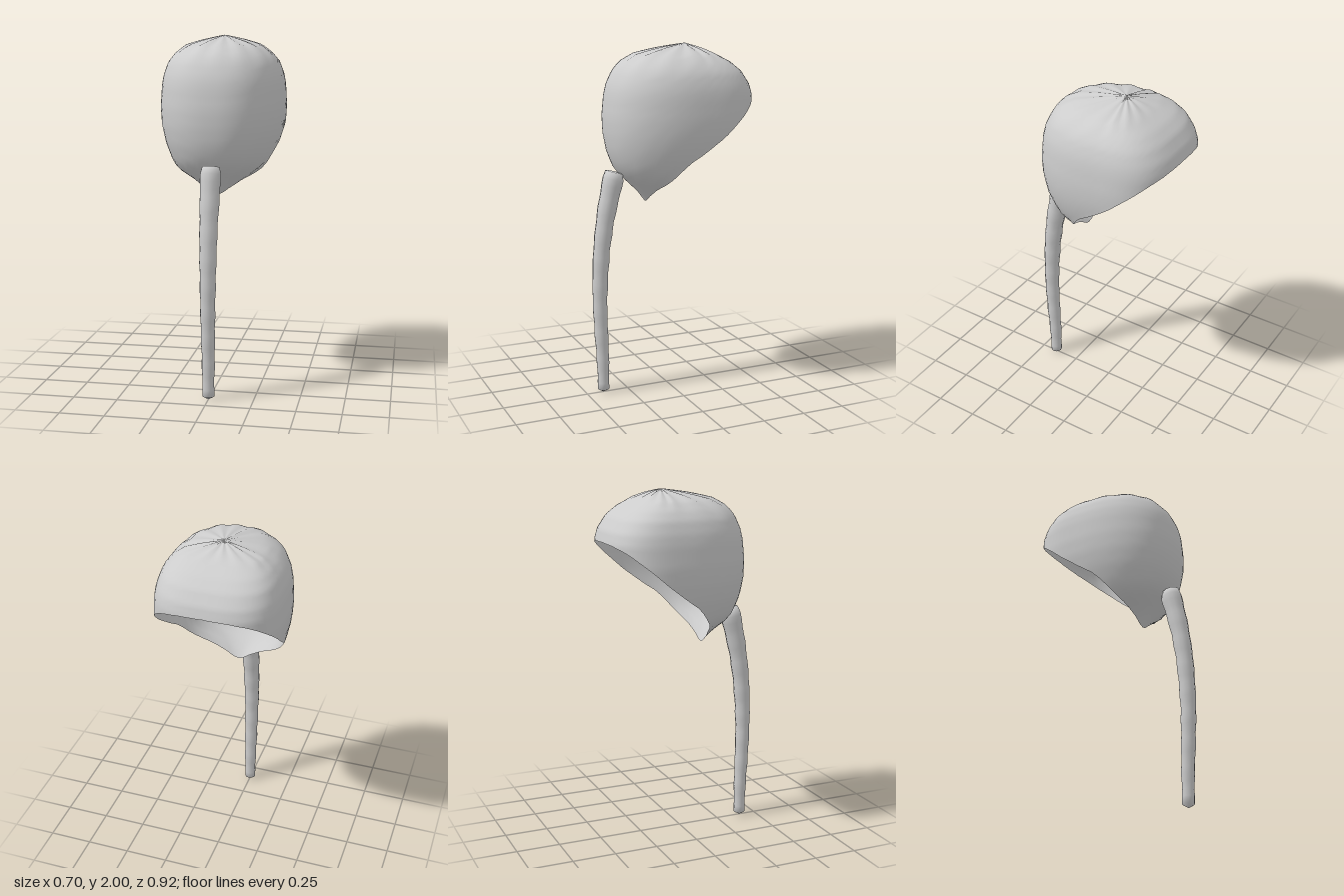
import * as THREE from 'three';

// Linear lookup in rows sorted by descending first column
function lookup(rows, key) {
  if (key >= rows[0][0]) return rows[0].slice(1);
  for (let k = 1; k < rows.length; k++) {
    const a = rows[k - 1], b = rows[k];
    if (key >= b[0]) {
      const t = (a[0] - key) / (a[0] - b[0]);
      return a.slice(1).map((v, m) => v + (b[m + 1] - v) * t);
    }
  }
  return rows[rows.length - 1].slice(1);
}

// Closed-around grid; j runs from top to bottom
function tubeGrid(around, along, point) {
  const pos = [], index = [];
  for (let j = 0; j <= along; j++)
    for (let i = 0; i < around; i++) pos.push(...point((i / around) * Math.PI * 2, j));
  for (let j = 0; j < along; j++)
    for (let i = 0; i < around; i++) {
      const n = (i + 1) % around;
      const a = j * around + i, b = j * around + n;
      const c = a + around, d = b + around;
      index.push(a, c, b, b, c, d);
    }
  const g = new THREE.BufferGeometry();
  g.setAttribute('position', new THREE.Float32BufferAttribute(pos, 3));
  g.setIndex(index);
  g.computeVertexNormals();
  return g;
}

// Hood sections: height, front z, back z, half width
const SECTIONS = [
  [2.0, -0.11, -0.11, 0], [1.972, 0.06, -0.19, 0.12], [1.945, 0.18, -0.25, 0.21],
  [1.9, 0.26, -0.335, 0.27], [1.85, 0.302, -0.395, 0.31], [1.78, 0.335, -0.442, 0.335],
  [1.72, 0.35, -0.46, 0.345], [1.6, 0.362, -0.46, 0.352], [1.5, 0.358, -0.46, 0.346],
  [1.4, 0.34, -0.46, 0.325], [1.3, 0.3, -0.46, 0.288], [1.25, 0.255, -0.46, 0.26],
  [1.2, 0.2, -0.46, 0.18], [1.15, 0.152, -0.46, 0.13], [1.11, 0.13, -0.46, 0.09],
];
// Slanted opening: z, height of the rim
const RIM = [
  [0.135, 1.11], [0.128, 1.17], [0.1, 1.23], [0.06, 1.285], [0, 1.36], [-0.1, 1.43],
  [-0.2, 1.505], [-0.3, 1.59], [-0.4, 1.675], [-0.46, 1.72],
];
const CENTER = -0.11;

function hoodPoint(a, y) {
  const [front, back, w] = lookup(SECTIONS, y);
  const s = Math.sin(a), c = Math.cos(a);
  const n = c > 0 ? 2.35 : 3;
  const r = Math.pow(Math.abs(s) ** n + Math.abs(c) ** n, -1 / n);
  return [w * s * r, y, CENTER + (c > 0 ? front - CENTER : CENTER - back) * c * r];
}

function hoodRim(a) {
  let y = 1.98;
  while (y > 1.11 && y > lookup(RIM, hoodPoint(a, y)[2])[0]) y -= 0.002;
  return Math.max(y, 1.11);
}

function hoodGeometry() {
  const around = 64, along = 28;
  return tubeGrid(around, along, (a, j) => {
    const t = j / along;
    const p = hoodPoint(a, 2 - (2 - hoodRim(a)) * Math.pow(t, 1.6));
    // faint gathers radiating from the crown
    p[1] += 0.004 * Math.sin(a * 14) * Math.sin(Math.PI * Math.min(1, t * 2.5));
    return p;
  });
}

// Stem: height, centre z, radius
const STEM = [
  [1.295, 0.32, 0.05], [1.265, 0.324, 0.058], [1.2, 0.339, 0.057], [1.1, 0.362, 0.054],
  [1.0, 0.381, 0.051], [0.85, 0.401, 0.048], [0.7, 0.411, 0.045], [0.55, 0.415, 0.042],
  [0.35, 0.409, 0.039], [0.2, 0.402, 0.036], [0.02, 0.4, 0.032],
];

function stemGeometry() {
  const rings = 32;
  return tubeGrid(12, rings + 2, (a, j) => {
    const k = Math.min(Math.max(j - 1, 0), rings) / rings;
    const y = 1.295 - 1.275 * k;
    const [z, r0] = lookup(STEM, y);
    const cap = j === 0 || j === rings + 2;
    const r = cap ? 0 : r0 + 0.0018 * Math.sin(y * 42);
    const zo = r * Math.cos(a);
    // the top end leans towards the hood
    const tilt = 0.27 * Math.max(0, (y - 0.9) / 0.4);
    return [r * Math.sin(a), (j === rings + 2 ? 0 : j === 0 ? 1.3 : y) + zo * tilt, z + zo];
  });
}

export function createModel() {
  const grey = new THREE.MeshStandardMaterial({ color: 0xcccccc, side: THREE.DoubleSide });
  grey.name = 'light grey';
  const group = new THREE.Group();
  const hood = new THREE.Mesh(hoodGeometry(), grey);
  hood.name = 'hood';
  const stem = new THREE.Mesh(stemGeometry(), grey);
  stem.name = 'stem';
  group.add(hood, stem);
  return group;
}
